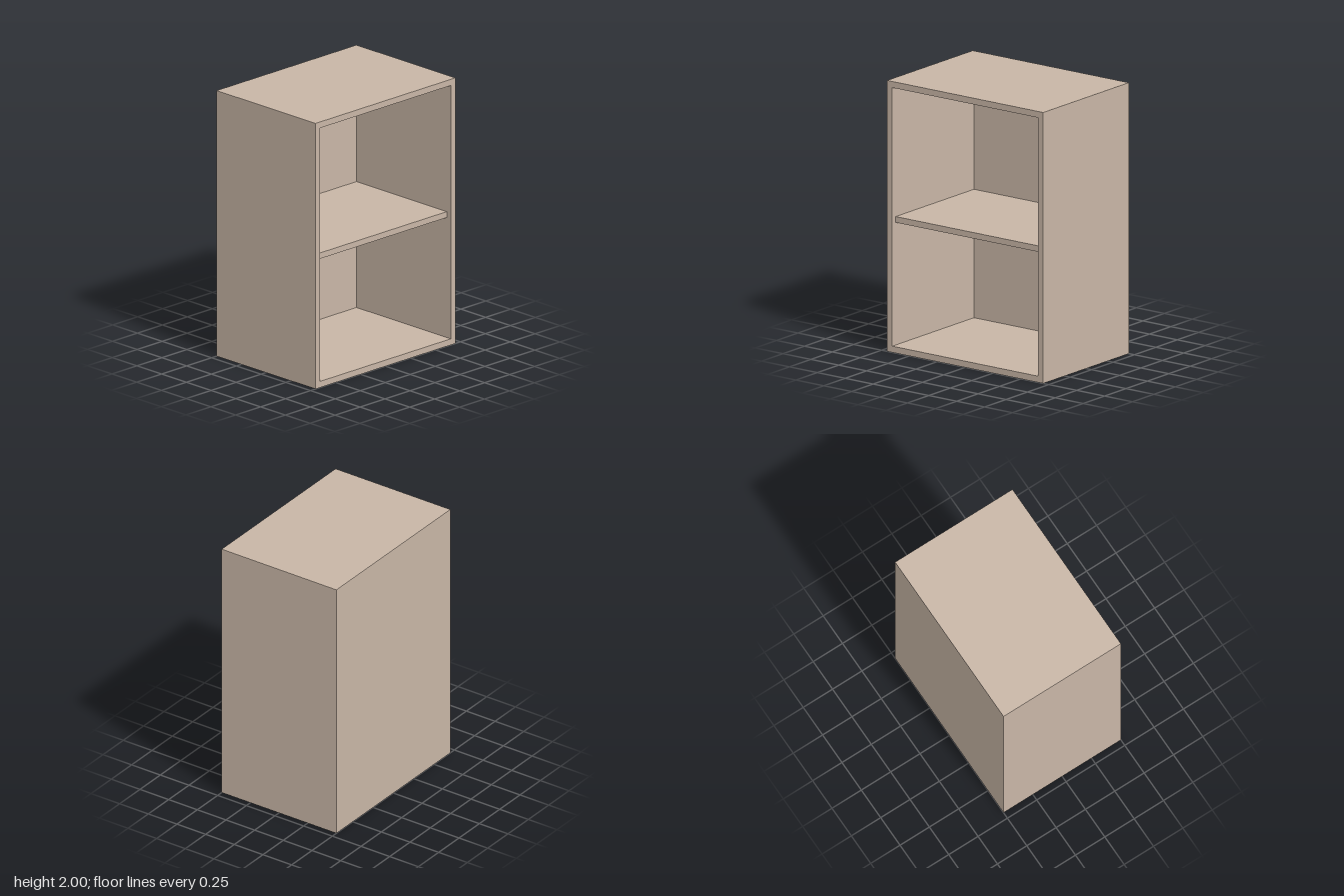
import * as THREE from 'three';

export function createModel() {
  const group = new THREE.Group();
  group.name = 'openCabinet';
  const wood = new THREE.MeshStandardMaterial({ color: 0xc8b6a6 });
  wood.name = 'beige wood';

  const W = 1.4, H = 2, D = 1, T = 0.046;
  const innerW = W - 2 * T, innerH = H - 2 * T;

  function panel(name, w, h, d, x, y, z) {
    const mesh = new THREE.Mesh(new THREE.BoxGeometry(w, h, d), wood);
    mesh.name = name;
    mesh.position.set(x, y, z);
    group.add(mesh);
  }

  // Carcass: one hollow frame, so its front and outer faces have no seams
  const outline = new THREE.Shape([
    new THREE.Vector2(-W / 2, 0), new THREE.Vector2(W / 2, 0),
    new THREE.Vector2(W / 2, H), new THREE.Vector2(-W / 2, H),
  ]);
  outline.holes.push(new THREE.Path([
    new THREE.Vector2(-innerW / 2, T), new THREE.Vector2(-innerW / 2, H - T),
    new THREE.Vector2(innerW / 2, H - T), new THREE.Vector2(innerW / 2, T),
  ]));
  const frame = new THREE.Mesh(
    new THREE.ExtrudeGeometry(outline, { depth: D, bevelEnabled: false }), wood);
  frame.name = 'frame';
  frame.position.z = -D / 2;
  group.add(frame);

  // Back panel, flush with the rear of the frame
  panel('backPanel', innerW, innerH, T, 0, H / 2, -D / 2 + T / 2);

  // Middle shelf, set back slightly from the front
  const setback = 0.04;
  const shelfD = D - T - setback;
  panel('shelf', innerW, 0.044, shelfD, 0, 0.972, -D / 2 + T + shelfD / 2);

  return group;
}
